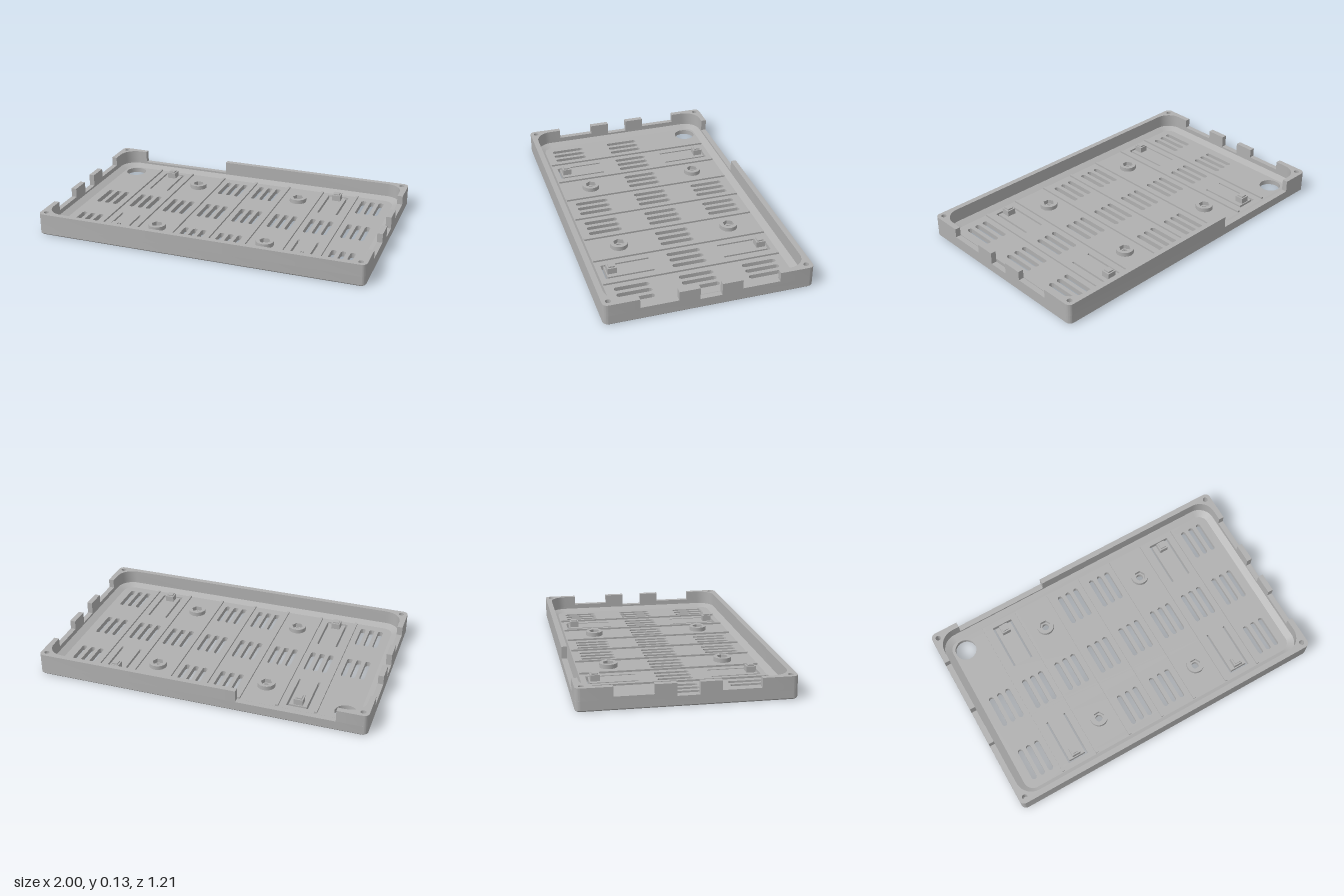
import * as THREE from 'three';
import { toCreasedNormals } from 'three/addons/utils/BufferGeometryUtils.js';

const W = 1, D = 0.605;            // outer half sizes
const IW = 0.967, ID = 0.572;      // inner wall half sizes
const FLOOR = 0.03, SILL = 0.06, TOP = 0.132;

const grey = new THREE.MeshStandardMaterial({ color: 0xb0b0b0 });
grey.name = 'plain grey plastic';

// Plan shapes use x and z; they are extruded between two heights.
function slab(shape, y0, y1) {
  const g = new THREE.ExtrudeGeometry(shape, { depth: y1 - y0, bevelEnabled: false, curveSegments: 10 });
  g.rotateX(Math.PI / 2).translate(0, y1, 0);
  return toCreasedNormals(g, 0.6);
}

function roundRect(w, d, r) {
  const s = new THREE.Shape();
  s.absarc(w - r, d - r, r, 0, Math.PI / 2);
  s.absarc(-w + r, d - r, r, Math.PI / 2, Math.PI);
  s.absarc(-w + r, -d + r, r, Math.PI, Math.PI * 1.5);
  s.absarc(w - r, -d + r, r, Math.PI * 1.5, Math.PI * 2);
  s.closePath();
  return s;
}

function circle(x, z, r, sides = 32) {
  const pts = [];
  for (let i = 0; i < sides; i++) {
    const a = (i / sides) * Math.PI * 2;
    pts.push(new THREE.Vector2(x + r * Math.cos(a), z + r * Math.sin(a)));
  }
  return new THREE.Path(pts);
}

function slot(x, z, halfLength, r) {
  const p = new THREE.Path();
  p.absarc(x, z + halfLength - r, r, 0, Math.PI);
  p.absarc(x, z - halfLength + r, r, Math.PI, Math.PI * 2);
  p.closePath();
  return p;
}

// Sloped strip joining two outlines
function strip(shapeA, yA, shapeB, yB) {
  const a = shapeA.getPoints(8), b = shapeB.getPoints(8), v = [];
  const put = (p, y) => v.push(p.x, y, p.y);
  for (let i = 0; i < a.length; i++) {
    const j = (i + 1) % a.length;
    put(a[i], yA); put(b[i], yB); put(a[j], yA);
    put(b[i], yB); put(b[j], yB); put(a[j], yA);
  }
  const g = new THREE.BufferGeometry();
  g.setAttribute('position', new THREE.Float32BufferAttribute(v, 3));
  g.computeVertexNormals();
  return g;
}

// L-shaped wall with a rounded corner and a screw hole
function cornerWall(sx, sz, xEnd, zEnd) {
  const pts = [];
  const arc = (cx, cz, r, from, to) => {
    for (let i = 0; i <= 8; i++) {
      const a = from + (to - from) * i / 8;
      pts.push(new THREE.Vector2(sx * (cx + r * Math.cos(a)), sz * (cz + r * Math.sin(a))));
    }
  };
  pts.push(new THREE.Vector2(sx * W, sz * zEnd));
  arc(W - 0.03, D - 0.03, 0.03, 0, Math.PI / 2);
  pts.push(new THREE.Vector2(sx * xEnd, sz * D), new THREE.Vector2(sx * xEnd, sz * ID));
  arc(IW - 0.1, ID - 0.1, 0.1, Math.PI / 2, 0);
  pts.push(new THREE.Vector2(sx * IW, sz * zEnd));
  const s = new THREE.Shape(pts);
  s.holes.push(circle(sx * 0.963, sz * 0.568, 0.016, 16));
  return s;
}

export function createModel() {
  const model = new THREE.Group();
  model.name = 'ventilatedTray';
  const add = (name, geometry) => {
    const m = new THREE.Mesh(geometry, grey);
    m.name = name;
    model.add(m);
  };
  const box = (name, x0, x1, y0, y1, z0, z1) => add(name,
    new THREE.BoxGeometry(x1 - x0, y1 - y0, z1 - z0)
      .translate((x0 + x1) / 2, (y0 + y1) / 2, (z0 + z1) / 2));

  // Floor with vents, cable hole, screw holes and spring-clip slits
  const floor = roundRect(W - 0.008, D - 0.008, 0.024);
  const columns = [-0.8, -0.571, -0.343, -0.114, 0.114, 0.343, 0.571, 0.8];
  const rows = [
    [-0.378, [3, 4, 7]],
    [0, [0, 1, 2, 3, 4, 5, 6, 7]],
    [0.378, [0, 3, 4, 7]],
  ];
  for (const [z, used] of rows)
    for (const c of used)
      for (const k of [-1, 0, 1]) floor.holes.push(slot(columns[c] + k * 0.056, z, 0.102, 0.0155));
  floor.holes.push(circle(-0.845, -0.455, 0.065, 40));
  for (const sx of [-1, 1]) {
    for (const sz of [-1, 1]) {
      floor.holes.push(circle(sx * 0.342, sz * 0.342, 0.021, 24));
      const slit = [[-0.065, 0.21], [-0.065, 0.497], [0.065, 0.497], [0.065, 0.21],
        [0.053, 0.21], [0.053, 0.483], [-0.053, 0.483], [-0.053, 0.21]];
      floor.holes.push(new THREE.Path(slit.map(([x, z]) =>
        new THREE.Vector2(sx * 0.571 + x, sz * z))));
    }
  }
  add('floor', slab(floor, 0, FLOOR));

  // Low continuous wall, bottom chamfer and sloped inner ledge
  const rim = roundRect(W, D, 0.03);
  rim.holes.push(roundRect(IW, ID, 0.1));
  add('lowerWall', slab(rim, 0.008, SILL));
  add('bottomChamfer', strip(roundRect(W - 0.008, D - 0.008, 0.024), 0, roundRect(W, D, 0.03), 0.008));
  add('innerLedge', strip(roundRect(IW, ID, 0.1), 0.048, roundRect(0.925, 0.53, 0.06), FLOOR));

  // Upper walls, leaving the back opening and the side notches
  add('frontLeftWall', slab(cornerWall(1, 1, 0, 0.402), SILL, TOP));
  add('frontRightWall', slab(cornerWall(-1, 1, 0, 0.402), SILL, TOP));
  add('backLeftWall', slab(cornerWall(1, -1, -0.235, 0.402), SILL, TOP));
  add('backRightWall', slab(cornerWall(-1, -1, 0.82, 0.402), SILL, TOP));
  for (const sx of [-1, 1]) {
    const [x0, x1] = sx > 0 ? [IW, W] : [-W, -IW];
    for (const sz of [-1, 1]) {
      const span = (a, b) => (sz > 0 ? [a, b] : [-b, -a]);
      box('sideTab', x0, x1, SILL, TOP, ...span(0.063, 0.183));
      box('sideNotchSill', x0, x1, SILL, 0.077, ...span(0.183, 0.402));
    }
  }

  // Floor ribs between the vent columns
  for (let i = -3; i <= 3; i++) {
    const x = i * 0.2285;
    box('floorRib', x - 0.008, x + 0.008, FLOOR, FLOOR + 0.011, -0.525, 0.525);
  }

  // Standoffs with hexagonal sockets, and spring-clip posts
  for (const sx of [-1, 1]) {
    for (const sz of [-1, 1]) {
      const x = sx * 0.342, z = sz * 0.342;
      const ring = new THREE.Shape(circle(x, z, 0.053).getPoints());
      ring.holes.push(circle(x, z, 0.034, 6));
      add('standoff', slab(ring, FLOOR, FLOOR + 0.026));
      const px = sx * 0.571, pz = sz * 0.45;
      box('clipPost', px - 0.027, px + 0.027, FLOOR, FLOOR + 0.036, pz - 0.027, pz + 0.027);
      box('clipPostTip', px - 0.018, px + 0.018, FLOOR + 0.036, FLOOR + 0.044, pz - 0.018, pz + 0.018);
    }
  }
  return model;
}
